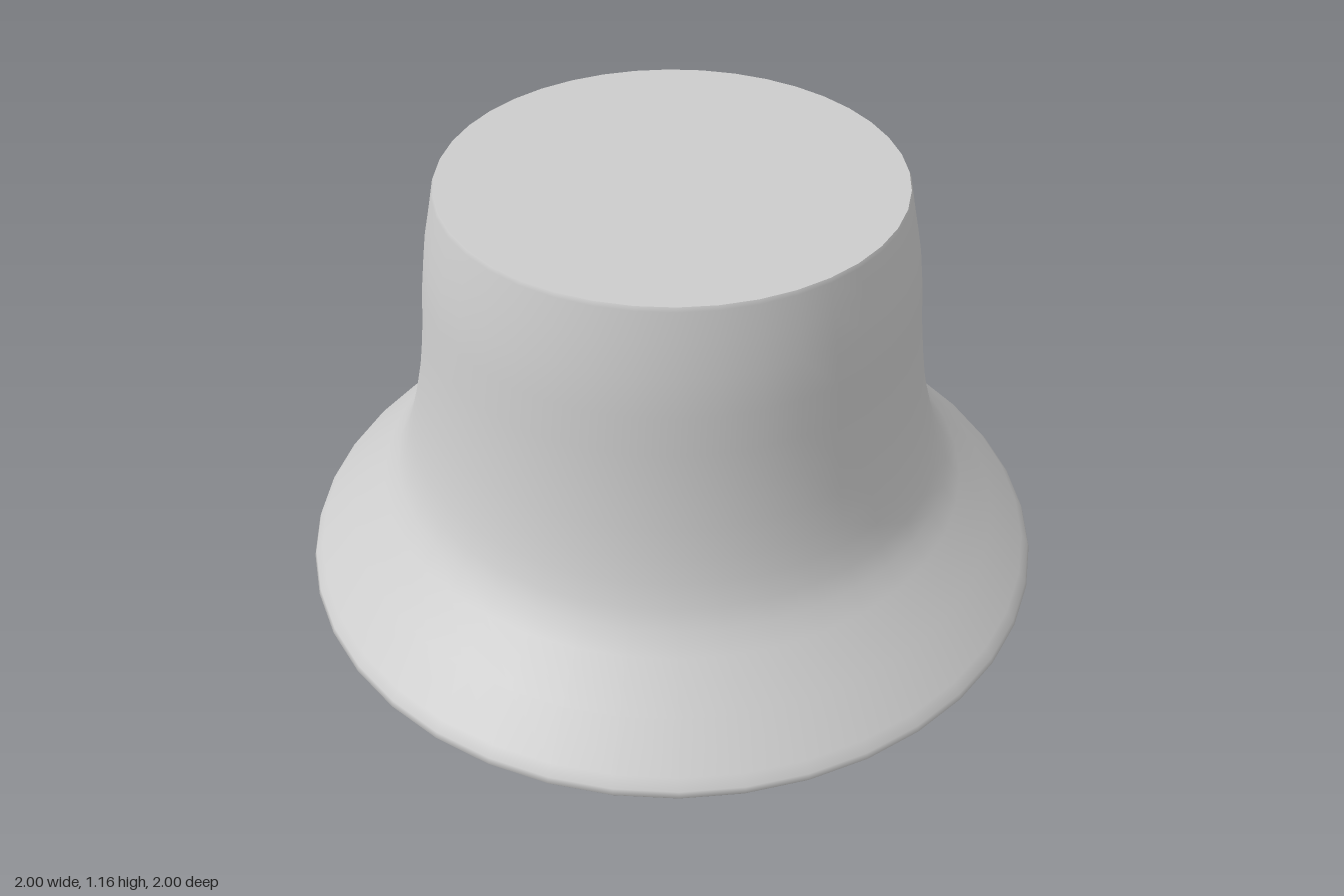
import * as THREE from 'three';

const SIDES = 40;

export function createModel() {
  const group = new THREE.Group();
  group.name = 'flaredKnob';
  const grey = new THREE.MeshStandardMaterial({ color: 0xcccccc });
  grey.name = 'plain grey';

  // Flared wall, listed from the base upward as [radius, height]
  const profile = [
    [0.93, 0], [0.985, 0.045], [1, 0.065], [0.995, 0.08], [0.975, 0.105],
    [0.88, 0.2], [0.785, 0.3], [0.745, 0.35], [0.718, 0.4], [0.698, 0.46],
    [0.682, 0.52], [0.665, 0.6], [0.65, 0.7], [0.638, 0.8], [0.63, 0.9],
    [0.617, 1], [0.6, 1.08], [0.585, 1.155], [0.58, 1.165],
  ].map(([r, y]) => new THREE.Vector2(r, y));
  const wall = new THREE.Mesh(new THREE.LatheGeometry(profile, SIDES), grey);
  wall.name = 'flaredWall';
  group.add(wall);

  // Flat discs closing both ends with sharp rims
  const addCap = (name, radius, y, tilt) => {
    const cap = new THREE.Mesh(new THREE.CircleGeometry(radius, SIDES), grey);
    cap.name = name;
    cap.rotation.x = tilt;
    cap.position.y = y;
    group.add(cap);
  };
  addCap('topCap', 0.58, 1.165, -Math.PI / 2);
  addCap('baseCap', 0.93, 0, Math.PI / 2);

  return group;
}
